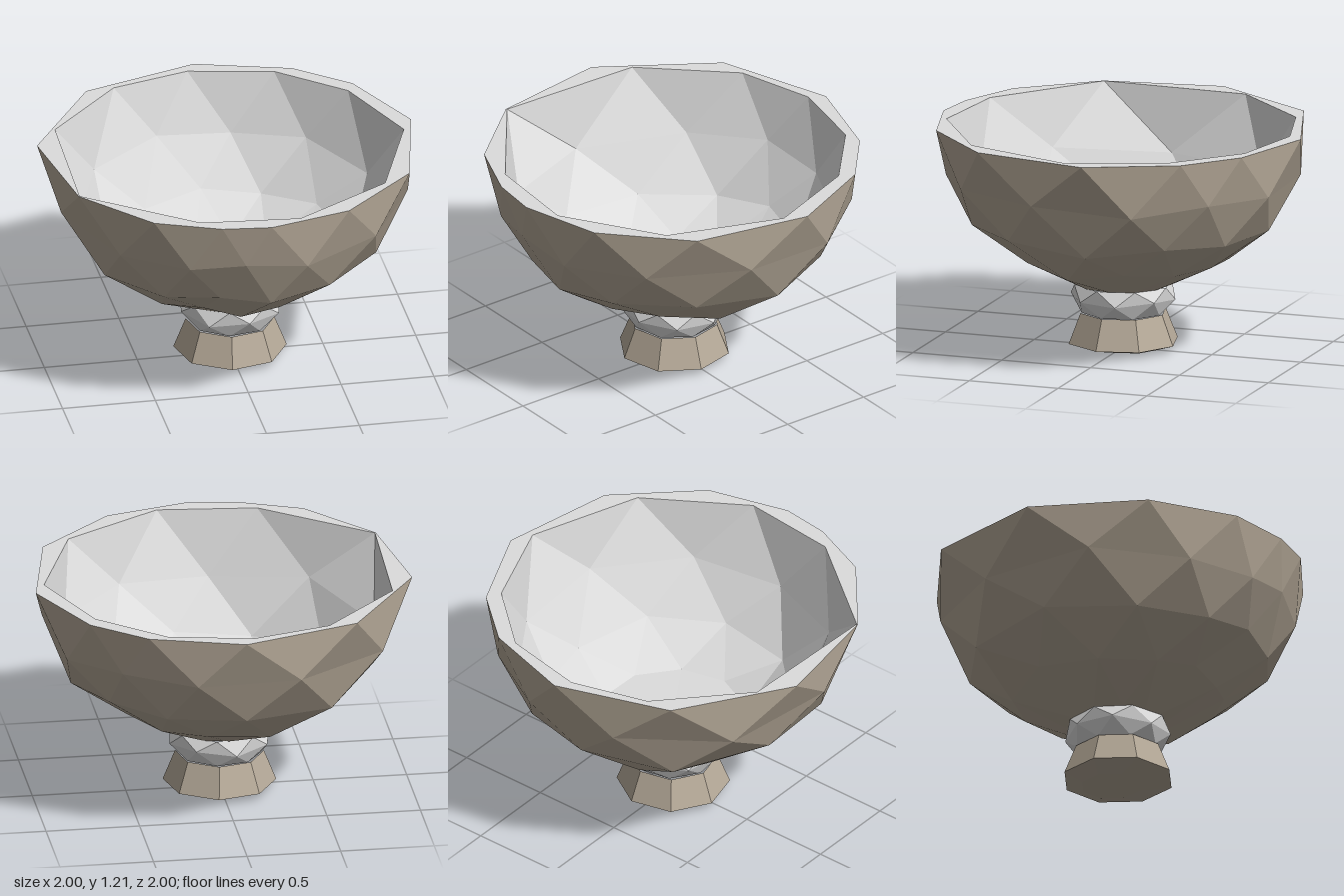
import * as THREE from 'three';

const brown = new THREE.MeshStandardMaterial({ color: 0xb5a998 });
brown.name = 'warm stone';
const grey = new THREE.MeshStandardMaterial({ color: 0xdcdcdc });
grey.name = 'pale grey';

// Irregular rim outlines as [x, z]
const outerRim = [[0, -1], [0.5, -0.85], [0.78, -0.61], [1, -0.13], [0.87, 0.5], [0.47, 0.88],
  [0.03, 1], [-0.23, 0.97], [-0.57, 0.83], [-0.9, 0.44], [-1, -0.2], [-0.62, -0.79]];
const innerRim = [[-0.05, -0.92], [0.4, -0.83], [0.74, -0.53], [0.94, -0.02], [0.72, 0.59],
  [0.2, 0.92], [-0.33, 0.87], [-0.895, 0.435], [-0.87, -0.37], [-0.47, -0.8]];
const rimY = 1.21;

const ringAt = (pts, y) => pts.map(([x, z]) => new THREE.Vector3(x, y, z));

// Next ring down: each point sits between two points of the ring above
function staggered(ring, radius, y, wobble) {
  return ring.map((p, i) => {
    const q = ring[(i + 1) % ring.length];
    const a = Math.atan2(p.z + q.z, p.x + q.x);
    return new THREE.Vector3(Math.cos(a) * radius, y + wobble * Math.sin(i * 2.3), Math.sin(a) * radius);
  });
}

function stack(first, profile, wobble) {
  const rings = [first];
  profile.forEach(([r, y], k) =>
    rings.push(staggered(rings[k], r, y, k < profile.length - 1 ? wobble : 0)));
  return rings;
}

// Faceted skin over rings listed from top to bottom, with an optional bottom fan
function skin(rings, { inward = false, tip = null } = {}) {
  const pos = [];
  const tri = (a, b, c) => (inward ? [a, c, b] : [a, b, c]).forEach(v => pos.push(v.x, v.y, v.z));
  rings.forEach((ring, k) => {
    const next = rings[k + 1];
    ring.forEach((a, i) => {
      const j = (i + 1) % ring.length;
      if (next) {
        tri(a, ring[j], next[i]);
        tri(ring[j], next[j], next[i]);
      } else if (tip) tri(a, ring[j], tip);
    });
  });
  const g = new THREE.BufferGeometry();
  g.setAttribute('position', new THREE.Float32BufferAttribute(pos, 3));
  g.computeVertexNormals();
  return g;
}

function circle(n, r, y, turn = 0, dz = 0) {
  return Array.from({ length: n }, (_, i) => {
    const a = turn + i / n * Math.PI * 2;
    return new THREE.Vector3(Math.cos(a) * r, y, Math.sin(a) * r + dz);
  });
}

export function createModel() {
  const model = new THREE.Group();
  model.name = 'footedBowl';
  const add = (name, geometry, material) => {
    const mesh = new THREE.Mesh(geometry, material);
    mesh.name = name;
    model.add(mesh);
  };

  // Bowl outside
  const outer = stack(ringAt(outerRim, rimY), [[0.94, 0.94], [0.81, 0.69], [0.56, 0.5], [0.26, 0.355]], 0.025);
  add('bowlOutside', skin(outer, { tip: new THREE.Vector3(0, 0.355, 0) }), brown);

  // Bowl inside
  const inner = stack(ringAt(innerRim, rimY), [[0.83, 0.88], [0.65, 0.62], [0.39, 0.47]], 0.03);
  add('bowlInside', skin(inner, { inward: true, tip: new THREE.Vector3(0, 0.465, 0) }), grey);

  // Flat rim between the two outlines
  const toShape = pts => pts.map(([x, z]) => new THREE.Vector2(x, -z));
  const rim = new THREE.Shape(toShape(outerRim));
  rim.holes.push(new THREE.Path(toShape(innerRim)));
  add('rim', new THREE.ShapeGeometry(rim).rotateX(-Math.PI / 2).translate(0, rimY, 0), grey);

  // Faceted collar under the bowl
  const collar = stack(circle(8, 0.265, 0.355, 0.2), [[0.28, 0.28], [0.225, 0.2]], 0.012);
  add('collar', skin(collar), grey);

  // Flared foot with a shallow uneven underside
  const foot = [circle(8, 0.235, 0.2, 0.15), circle(8, 0.3, 0.037, 0.15), circle(8, 0.16, 0.005, 0.15, -0.04)];
  add('foot', skin(foot, { tip: new THREE.Vector3(0, 0, -0.08) }), brown);

  return model;
}
